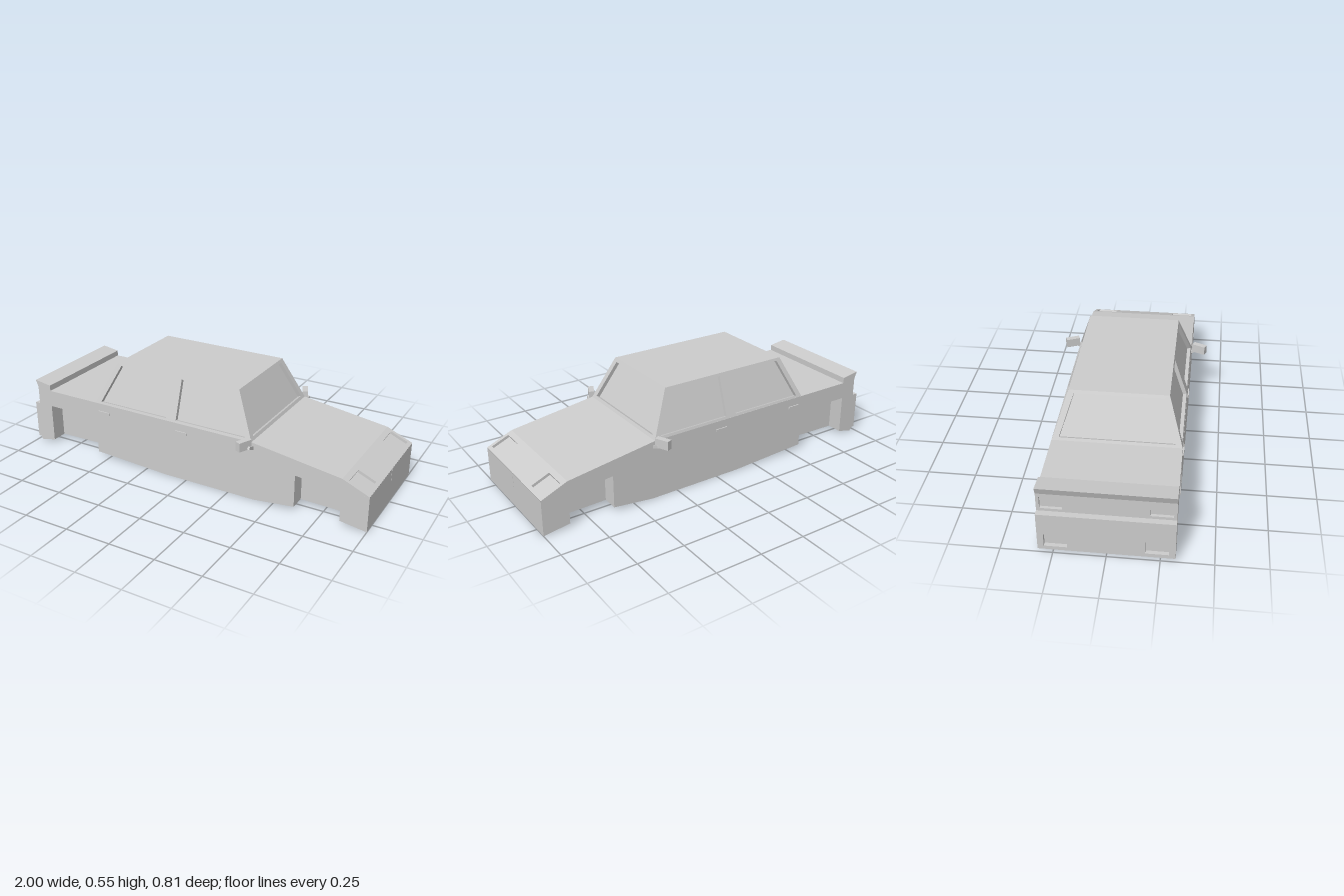
import * as THREE from 'three';
import { ConvexGeometry } from 'three/addons/geometries/ConvexGeometry.js';

const W = 0.32; // half width of the body
const V = (x, y, z) => new THREE.Vector3(x, y, z);

export function createModel() {
  const car = new THREE.Group();
  car.name = 'car';
  const mat = new THREE.MeshStandardMaterial({ color: 0xcccccc, flatShading: true, side: THREE.DoubleSide });

  const add = (name, geometry) => {
    const mesh = new THREE.Mesh(geometry, mat);
    mesh.name = name;
    car.add(mesh);
    return mesh;
  };
  const box = (name, w, h, d, x, y, z) => {
    const mesh = add(name, new THREE.BoxGeometry(w, h, d));
    mesh.position.set(x, y, z);
    return mesh;
  };
  const points = (list) => list.map(([x, y]) => new THREE.Vector2(x, y));

  // Side profile extruded between two z values
  const slab = (name, profile, z0, z1) => {
    const g = new THREE.ExtrudeGeometry(new THREE.Shape(points(profile)), { depth: z1 - z0, bevelEnabled: false });
    add(name, g.translate(0, 0, z0));
  };

  // Flat plate with openings; points are [distance along u, fraction of slope v]
  const plate = (name, origin, u, v, outer, holes, depth) => {
    const len = v.length();
    const scale = (list) => points(list.map(([a, t]) => [a, t * len]));
    const shape = new THREE.Shape(scale(outer));
    holes.forEach((h) => shape.holes.push(new THREE.Path(scale(h))));
    const g = new THREE.ExtrudeGeometry(shape, { depth, bevelEnabled: false }).translate(0, 0, -depth);
    const vn = v.clone().normalize();
    const m = new THREE.Matrix4().makeBasis(u, vn, u.clone().cross(vn)).setPosition(origin);
    add(name, g.applyMatrix4(m));
  };
  const rect = (a0, a1, t0, t1) => [[a0, t0], [a1, t0], [a1, t1], [a0, t1]];
  const pair = (a0, a1, t0, t1) => [rect(a0, a1, t0, t1), rect(-a1, -a0, t0, t1)];

  // Lower body: centre core plus outer sides notched for the wheels
  const upper = [
    [1, 0], [1, 0.187], [0.992, 0.178], [0.86, 0.235], [0.86, 0.25], [0.38, 0.32], [-0.885, 0.323],
    [-0.885, 0.355], [-0.985, 0.37], [-0.97, 0.33], [-0.955, 0.33], [-0.955, 0.23], [-0.98, 0.23], [-0.98, 0.01],
  ];
  const sill = [[-0.97, 0], [-0.885, 0.02], [-0.57, 0.025], [-0.13, 0], [0.4, 0], [0.62, 0.025], [0.86, 0.02]];
  const notched = [
    [-0.97, 0], [-0.885, 0.02], [-0.885, 0.23], [-0.57, 0.23], [-0.57, 0.025], [-0.13, 0],
    [0.4, 0], [0.62, 0.025], [0.62, 0.2], [0.86, 0.175], [0.86, 0.02],
  ];
  const inner = 0.235;
  slab('bodyCore', [...upper, ...sill], -inner, inner);
  slab('leftBodySide', [...upper, ...notched], inner, W);
  slab('rightBodySide', [...upper, ...notched], -W, -inner);

  // Shallow keel below the floor
  const keel = [];
  const line = [...sill, [1, 0]];
  for (let i = 0; i < line.length - 1; i++) {
    const [x0, y0] = line[i], [x1, y1] = line[i + 1];
    for (const s of [1, -1]) {
      const quad = [[x0, y0, s * inner], [x0, 0, 0], [x1, 0, 0], [x1, y1, s * inner]];
      const order = s > 0 ? [0, 1, 2, 0, 2, 3] : [0, 2, 1, 0, 3, 2];
      order.forEach((k) => keel.push(...quad[k]));
    }
  }
  const keelGeometry = new THREE.BufferGeometry();
  keelGeometry.setAttribute('position', new THREE.Float32BufferAttribute(keel, 3));
  keelGeometry.computeVertexNormals();
  add('floor', keelGeometry);

  // Nose and tail plates with recessed lamps
  const toLeft = V(0, 0, 1), toRight = V(0, 0, -1);
  plate('headlightPanel', V(1, 0.19, 0), toRight, V(-0.14, 0.06, 0),
    rect(-W, W, 0, 1), pair(0.18, 0.3, 0.14, 0.8), 0.014);
  plate('rearBumper', V(-1, 0, 0), toLeft, V(0, 1, 0),
    rect(-W, W, 0.02, 0.23), pair(0.18, 0.29, 0.04, 0.11), 0.02);
  plate('tailLightPanel', V(-0.97, 0, 0), toLeft, V(0, 1, 0),
    rect(-W, W, 0.23, 0.33), pair(0.2, 0.305, 0.245, 0.31), 0.015);
  box('noseCrease', 0.004, 0.08, 0.003, 0.999, 0.17 - 0.02, 0);

  // Cabin frame
  const side = [[-0.57, 0], [0.38, 0], [0.27, 1], [-0.46, 1]];
  const windows = [
    [[-0.533, 0.06], [-0.12, 0.06], [-0.12, 0.94], [-0.437, 0.94]],
    [[-0.06, 0.06], [0.342, 0.06], [0.247, 0.94], [-0.06, 0.94]],
  ];
  const flip = (list) => list.map(([a, t]) => [-a, t]);
  plate('leftDoorFrames', V(0, 0.32, W), V(1, 0, 0), V(0, 0.23, -0.075), side, windows, 0.02);
  plate('rightDoorFrames', V(0, 0.32, -W), V(-1, 0, 0), V(0, 0.23, 0.075), flip(side), windows.map(flip), 0.02);

  const screen = [[-W, 0], [W, 0], [0.245, 1], [-0.245, 1]];
  const opening = [[-0.284, 0.07], [0.284, 0.07], [0.219, 0.93], [-0.219, 0.93]];
  plate('windshieldFrame', V(0.38, 0.32, 0), toRight, V(-0.11, 0.23, 0), screen, [opening], 0.022);
  plate('rearWindowFrame', V(-0.57, 0.32, 0), toLeft, V(0.11, 0.23, 0), screen, [opening], 0.022);

  // Recessed glass block and roof
  const glass = [];
  for (const s of [1, -1]) {
    glass.push(V(-0.55, 0.315, s * 0.301), V(0.36, 0.315, s * 0.301));
    glass.push(V(-0.439, 0.548, s * 0.225), V(0.249, 0.548, s * 0.225));
  }
  add('windowGlass', new ConvexGeometry(glass));
  box('roof', 0.73, 0.008, 0.49, -0.095, 0.546, 0);

  // Mirrors and door handles on both sides
  for (const s of [1, -1]) {
    const name = s > 0 ? 'left' : 'right';
    const head = box(name + 'Mirror', 0.03, 0.048, 0.076, 0.362, 0.321, s * 0.366);
    head.rotation.y = -s * 0.42;
    const arm = box(name + 'MirrorArm', 0.025, 0.016, 0.06, 0.38, 0.296, s * 0.333);
    arm.rotation.x = -s * 0.4;
    for (const x of [-0.515, -0.025]) box(name + 'DoorHandle', 0.07, 0.014, 0.012, x, 0.272, s * W);
  }
  return car;
}
